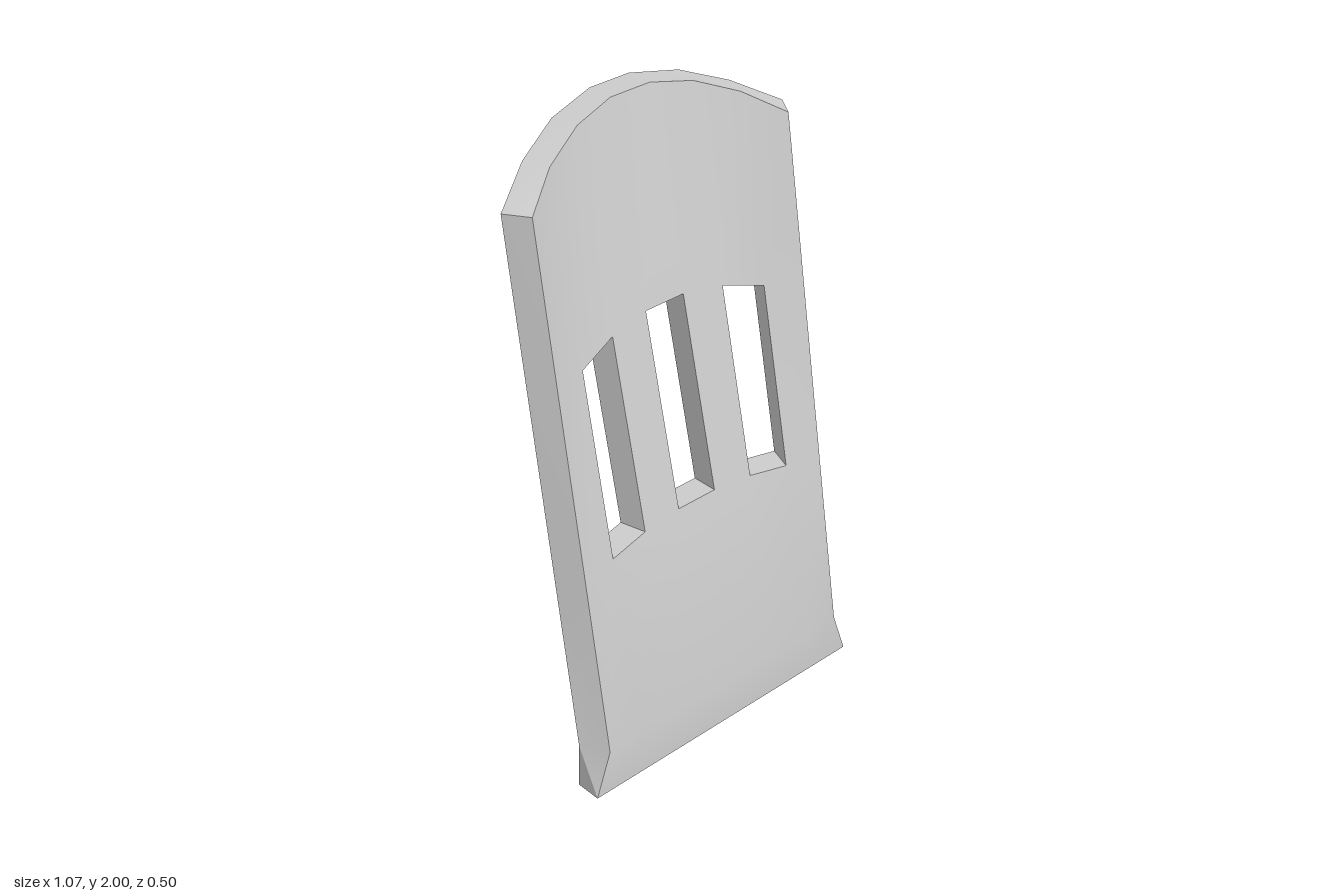
import * as THREE from 'three';
import { toCreasedNormals } from 'three/addons/utils/BufferGeometryUtils.js';

// Half of the arched top edge, from the centre outwards: [x, y, z]
const FRONT_TOP = [[0.073, 2, -0.168], [0.215, 1.97, -0.143], [0.355, 1.91, -0.095], [0.48, 1.83, -0.022]];
const BACK_TOP = [[0.073, 2, -0.255], [0.236, 1.97, -0.226], [0.386, 1.91, -0.173], [0.528, 1.83, -0.095]];
const FOOT_HEIGHT = 0.15;
const FOOT_HALF_WIDTH = 0.533;
const COLS = 7;
const ROWS = 4;

// Grid of points: row 0 is the straight foot, rows 1-4 rise in straight lines to the arch
function makeSheet(halfTop, footZ) {
  const mirrored = halfTop.map(([x, y, z]) => [-x, y, z]).reverse();
  const top = [...mirrored, ...halfTop].map((p) => new THREE.Vector3(...p));
  const flare = FOOT_HALF_WIDTH / halfTop[3][0];
  const rows = [top.map((p) => new THREE.Vector3(p.x * flare, 0, footZ))];
  for (let r = 0; r < ROWS; r++) {
    const t = r / (ROWS - 1);
    rows.push(top.map((p) => new THREE.Vector3(p.x, FOOT_HEIGHT, footZ).lerp(p, t)));
  }
  return rows.slice(0, ROWS + 1);
}

// Cells that carry material: everything but the three windows
function isSolid(c, r) {
  const inside = c >= 0 && c < COLS && r >= 0 && r < ROWS;
  return inside && !(r === 2 && c % 2 === 1);
}

function panelGeometry() {
  const front = makeSheet(FRONT_TOP, 0.25);
  const back = makeSheet(BACK_TOP, 0.165);
  const positions = [];
  const quad = (a, b, c, d) => {
    for (const p of [a, b, c, a, c, d]) positions.push(p.x, p.y, p.z);
  };

  for (let r = 0; r < ROWS; r++) {
    for (let c = 0; c < COLS; c++) {
      if (!isSolid(c, r)) continue;
      const corners = [[c, r], [c + 1, r], [c + 1, r + 1], [c, r + 1]];
      const f = corners.map(([i, j]) => front[j][i]);
      const b = corners.map(([i, j]) => back[j][i]);

      // Front and back skins
      quad(f[0], f[1], f[2], f[3]);
      quad(b[1], b[0], b[3], b[2]);

      // Rim and window reveals, wherever the neighbouring cell is empty
      const neighbours = [[c, r - 1], [c + 1, r], [c, r + 1], [c - 1, r]];
      neighbours.forEach(([nc, nr], i) => {
        if (isSolid(nc, nr)) return;
        const n = (i + 1) % 4;
        if (i === 3) quad(b[i], b[n], f[n], f[i]);
        else quad(f[i], b[i], b[n], f[n]);
      });
    }
  }

  const geometry = new THREE.BufferGeometry();
  geometry.setAttribute('position', new THREE.Float32BufferAttribute(positions, 3));
  return toCreasedNormals(geometry, THREE.MathUtils.degToRad(25));
}

export function createModel() {
  const group = new THREE.Group();
  group.name = 'curvedPanel';
  const panel = new THREE.Mesh(panelGeometry(), new THREE.MeshStandardMaterial({ color: 0xcccccc }));
  panel.name = 'slottedBackrest';
  group.add(panel);
  return group;
}
